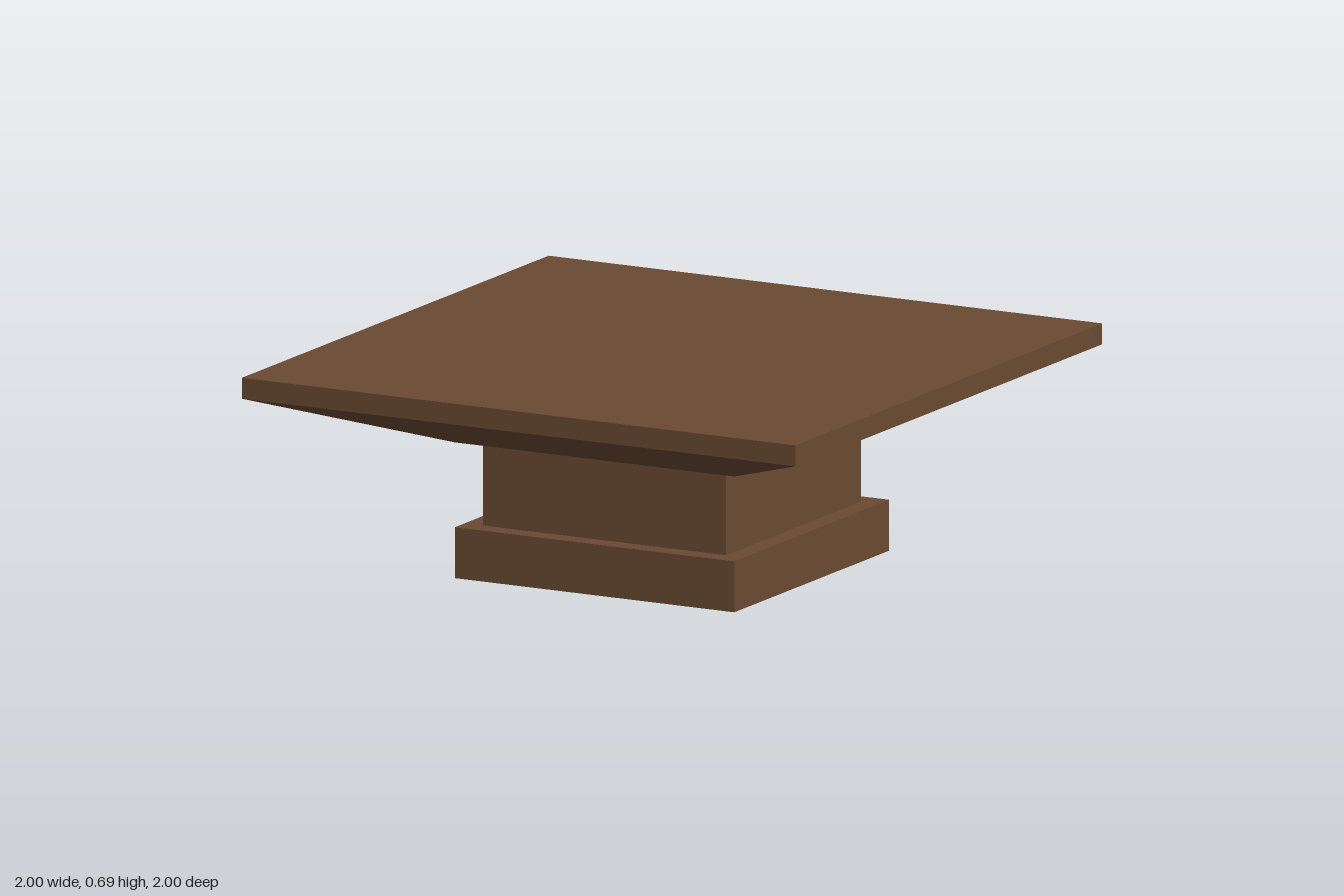
import * as THREE from 'three';

export function createModel() {
  const model = new THREE.Group();
  const brownWood = new THREE.MeshStandardMaterial({ color: 0x6b4a33 });
  brownWood.name = 'brownWood';

  // Square block from y0 to y1; the half-widths at the bottom and top may differ.
  function addBlock(name, y0, y1, bottom, top = bottom) {
    const geometry = new THREE.BoxGeometry(2, y1 - y0, 2);
    const pos = geometry.attributes.position;
    for (let i = 0; i < pos.count; i++) {
      const half = pos.getY(i) < 0 ? bottom : top;
      pos.setX(i, pos.getX(i) * half);
      pos.setZ(i, pos.getZ(i) * half);
    }
    geometry.computeVertexNormals();
    const mesh = new THREE.Mesh(geometry, brownWood);
    mesh.name = name;
    mesh.position.y = (y0 + y1) / 2;
    model.add(mesh);
  }

  addBlock('basePlinth', 0, 0.165, 0.505);
  addBlock('column', 0.165, 0.44, 0.44);
  addBlock('flaredSupport', 0.44, 0.625, 0.505, 1); // widens up to the slab
  addBlock('topSlab', 0.625, 0.693, 1);

  return model;
}
